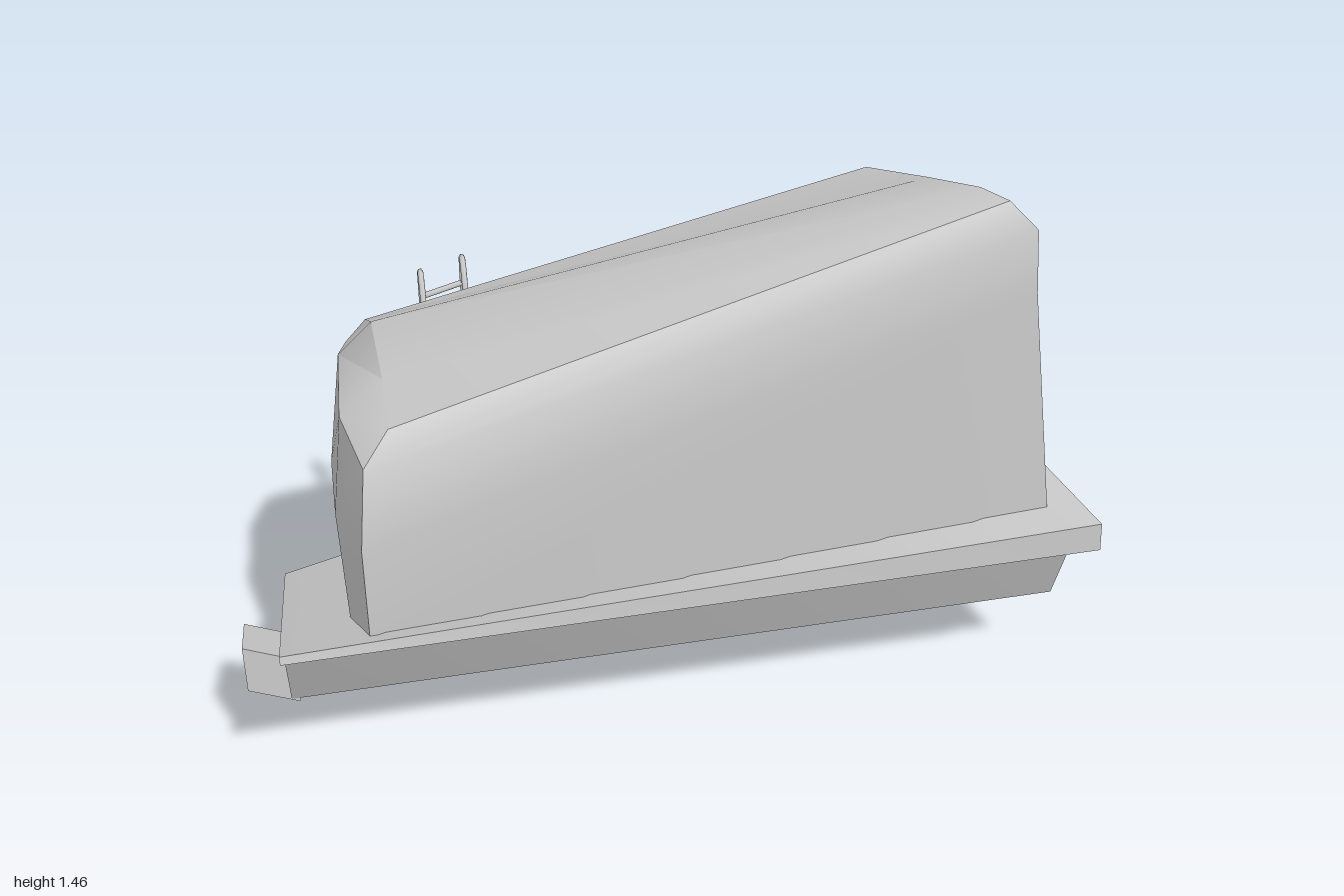
import * as THREE from 'three';
import { toCreasedNormals } from 'three/addons/utils/BufferGeometryUtils.js';

const material = new THREE.MeshStandardMaterial({ color: 0xcccccc, side: THREE.DoubleSide });

// Skin over cross-sections of [x, y, z] points, closed at both ends.
// Each section has an even count of points, so a cap joins point j to its opposite.
function loft(sections, crease) {
  const out = [];
  const quad = (a, b, c, d) => out.push(...a, ...b, ...c, ...a, ...c, ...d);
  const n = sections[0].length;
  for (let i = 0; i < sections.length - 1; i++) {
    const a = sections[i], b = sections[i + 1];
    for (let j = 0; j < n; j++) {
      const k = (j + 1) % n;
      quad(a[j], a[k], b[k], b[j]);
    }
  }
  const first = sections[0], last = sections[sections.length - 1];
  for (let j = 0; j < n / 2 - 1; j++) {
    quad(last[j], last[j + 1], last[n - 2 - j], last[n - 1 - j]);
    quad(first[n - 1 - j], first[n - 2 - j], first[j + 1], first[j]);
  }
  const g = new THREE.BufferGeometry();
  g.setAttribute('position', new THREE.Float32BufferAttribute(out, 3));
  return toCreasedNormals(g, crease);
}

// Sections blended evenly between two ends
function blend(a, b, steps) {
  return Array.from({ length: steps + 1 }, (_, i) =>
    a.map((p, j) => p.map((v, k) => v + (b[j][k] - v) * i / steps)));
}

function mesh(name, geometry, parent) {
  const m = new THREE.Mesh(geometry, material);
  m.name = name;
  parent.add(m);
  return m;
}

// Round bar between two points
function bar(name, a, b, radius, parent) {
  const path = new THREE.LineCurve3(new THREE.Vector3(...a), new THREE.Vector3(...b));
  return mesh(name, new THREE.TubeGeometry(path, 1, radius, 6), parent);
}

// Spoked wheel facing z, bent by a matrix
function wheel(name, matrix, parent) {
  const group = new THREE.Group();
  group.name = name;
  const radius = 0.225, inner = 0.197, width = 0.07, sides = 10;
  const ring = r => Array.from({ length: sides }, (_, i) => {
    const t = (i + 0.5) / sides * Math.PI * 2 - Math.PI / 2;
    return new THREE.Vector2(r * Math.cos(t), r * Math.sin(t));
  });
  const shape = new THREE.Shape(ring(radius));
  shape.holes.push(new THREE.Path(ring(inner)));
  const rim = new THREE.ExtrudeGeometry(shape, { depth: width, bevelEnabled: false });
  rim.translate(0, 0, -width / 2);
  mesh('wheelRim', rim.applyMatrix4(matrix), group);

  const hub = new THREE.CylinderGeometry(0.052, 0.052, 0.045, sides);
  mesh('wheelHub', hub.rotateX(Math.PI / 2).applyMatrix4(matrix), group);

  for (let i = 0; i < 8; i++) {
    const spoke = new THREE.BoxGeometry(0.165, 0.018, 0.025);
    spoke.translate(0.12, 0, 0).rotateZ((i + 0.5) * Math.PI / 4);
    mesh('wheelSpoke', spoke.applyMatrix4(matrix), group);
  }
  parent.add(group);
}

export function createModel() {
  const model = new THREE.Group();
  model.name = 'wreckedWagon';

  // Twisted chassis: low end rolled backwards, high end cut at a slant
  const lowEnd = [
    [0.58, 0.385], [0.56, 0.39], [0.43, 0.2], [0.2, 0.08],
    [0.11, -0.12], [0.21, -0.2], [0.225, -0.345], [0.25, -0.355],
  ].map(([y, z]) => [-0.9, y, z]);
  const highEnd = [
    [0.985, 0.675, 0.345], [0.99, 0.6, 0.345], [1, 0.51, 0.17], [1, 0.265, 0.07],
    [0.95, 0.29, -0.14], [0.92, 0.56, -0.22], [0.82, 0.65, -0.38], [0.81, 0.705, -0.39],
  ];
  mesh('chassis', loft(blend(lowEnd, highEnd, 8), 0.3), model);

  // Coupling block on the low end
  const block = (x, drop) => [[0.37, 0.08], [0.24, 0.08], [0.19, -0.09], [0.31, -0.09]]
    .map(([y, z]) => [x, y - drop, z]);
  mesh('coupler', loft([block(-1, 0), block(-0.88, 0.05)], 0.3), model);

  // Leaning cargo body: base, side seam, shoulder and roof edge
  const body = [
    [[0.89, 0.64, 0.25], [0.91, 0.65, 0.08], [0.84, 0.66, -0.1], [0.68, 0.66, -0.355],
      [-0.69, 0.26, -0.3], [-0.74, 0.35, -0.12], [-0.74, 0.46, 0.15], [-0.7, 0.54, 0.33]],
    [[0.8, 1.25, 0.25], [0.79, 1.19, 0.1], [0.73, 1.11, -0.1], [0.6, 1.05, -0.345],
      [-0.7, 0.71, -0.3], [-0.75, 0.74, -0.12], [-0.75, 0.78, 0.15], [-0.7, 0.81, 0.345]],
    [[0.79, 1.4, 0.24], [0.77, 1.37, 0.1], [0.7, 1.32, -0.1], [0.58, 1.24, -0.34],
      [-0.69, 0.96, -0.29], [-0.71, 1.03, -0.12], [-0.72, 1.03, 0.14], [-0.68, 1, 0.31]],
    [[0.73, 1.46, 0.21], [0.7, 1.44, 0.1], [0.64, 1.38, -0.08], [0.56, 1.3, -0.31],
      [-0.64, 1.04, -0.25], [-0.63, 1.12, -0.1], [-0.62, 1.11, 0.13], [-0.62, 1.07, 0.27]],
  ];
  mesh('cargoBody', loft(body, 0.6), model);

  // Wheels: one upright, one crushed under the low end
  wheel('uprightWheel', new THREE.Matrix4().makeTranslation(0.57, 0.352, -0.305), model);
  wheel('crushedWheel', new THREE.Matrix4().set(
    1, 0, 0, -0.495,
    0.4, 0.51, 0, 0.143,
    0, 0, 1.1, -0.292,
    0, 0, 0, 1), model);

  // Ladder with hooked rails, rungs and wall brackets
  const ladder = new THREE.Group();
  ladder.name = 'ladder';
  model.add(ladder);
  const rails = [{ x: -0.5, low: 0.28, high: 1.06 }, { x: -0.4, low: 0.3, high: 1.09 }];
  const onRail = (r, t) => [r.x, r.low + (r.high - r.low) * t, -0.383 + 0.01 * t];
  for (const r of rails) {
    bar('ladderRail', onRail(r, 0), onRail(r, 1), 0.007, ladder);
    const hook = new THREE.CatmullRomCurve3([
      [r.high, -0.373], [r.high + 0.03, -0.365], [r.high + 0.035, -0.345],
      [r.high + 0.01, -0.32], [r.high - 0.06, -0.285],
    ].map(([y, z]) => new THREE.Vector3(r.x, y, z)));
    mesh('ladderHook', new THREE.TubeGeometry(hook, 10, 0.007, 6), ladder);
    for (const t of [0.28, 0.55, 0.82]) {
      const [x, y, z] = onRail(r, t);
      bar('ladderBracket', [x, y, z], [x, y - 0.02, -0.3], 0.005, ladder);
    }
  }
  for (let i = 0; i < 8; i++) {
    const t = 0.07 + i * 0.125;
    bar('ladderRung', onRail(rails[0], t), onRail(rails[1], t), 0.007, ladder);
  }

  return model;
}
